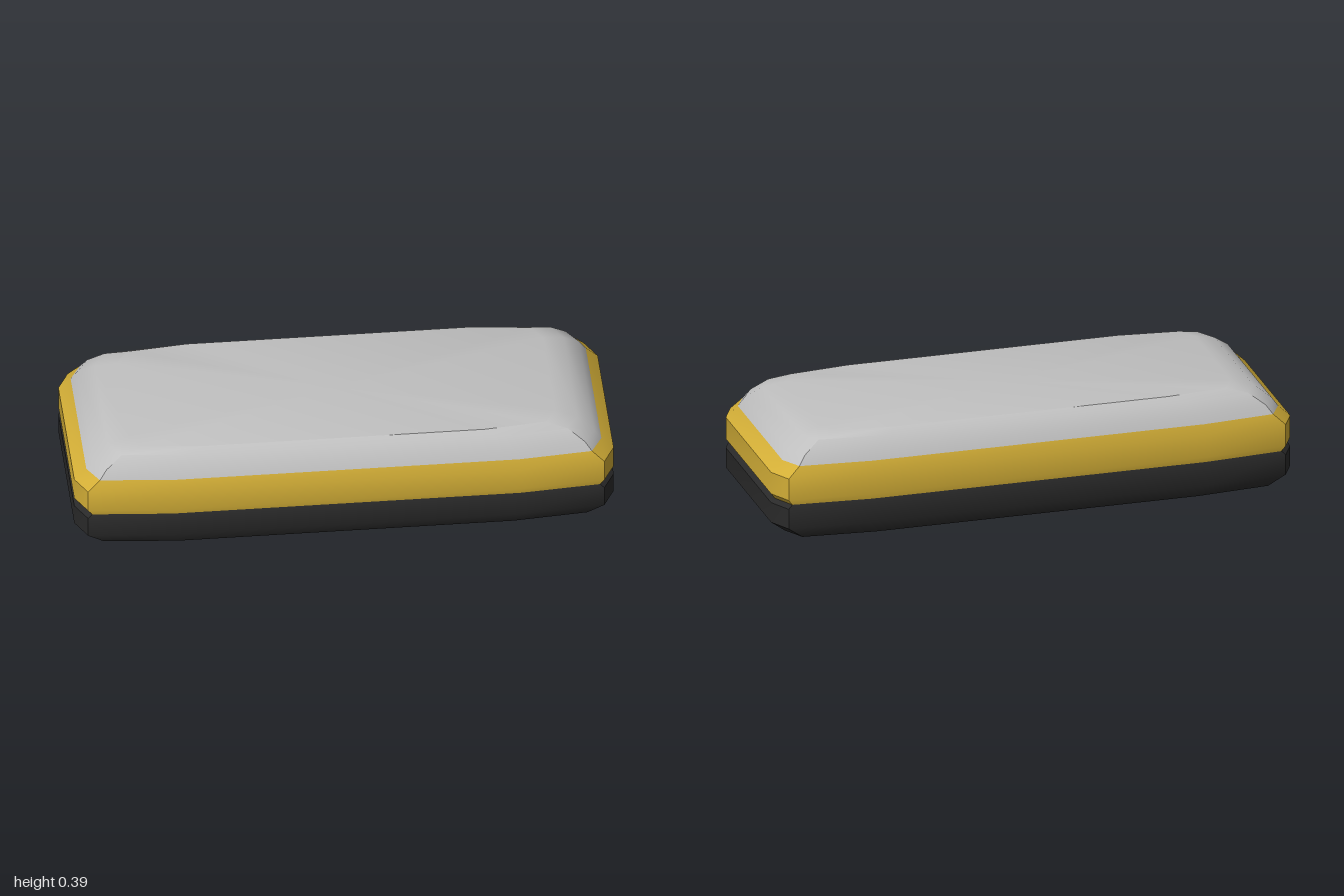
import * as THREE from 'three';
import { toCreasedNormals } from 'three/addons/utils/BufferGeometryUtils.js';

// One horizontal cross-section: a rectangle with bowed long sides and clipped corners.
// y height, X half length, Z half width, mid = end of the straight long side, end = half width of the end face
function ring([y, X, Z, mid, end]) {
  const quarter = [[X, end], [X - 0.043, Z - 0.025], [mid, Z]];
  const back = [...quarter].reverse();
  return [
    ...quarter,
    ...back.map(([x, z]) => [-x, z]),
    ...quarter.map(([x, z]) => [-x, -z]),
    ...back.map(([x, z]) => [x, -z]),
  ].map(([x, z]) => [x, y, z]);
}

// Joins the cross-sections from bottom to top and closes both ends.
function loft(sections) {
  const rings = sections.map(ring);
  const n = rings[0].length;
  const last = rings.length - 1;
  const pos = [];
  const tri = (...corners) => corners.forEach((p) => pos.push(...p));
  const low = [0, sections[0][0], 0];
  const high = [0, sections[last][0], 0];
  for (let i = 0; i < n; i++) {
    const j = (i + 1) % n;
    for (let k = 0; k < last; k++) {
      const a = rings[k][i], b = rings[k][j];
      const c = rings[k + 1][i], d = rings[k + 1][j];
      tri(a, c, b);
      tri(b, c, d);
    }
    tri(low, rings[0][i], rings[0][j]);
    tri(high, rings[last][j], rings[last][i]);
  }
  const geometry = new THREE.BufferGeometry();
  geometry.setAttribute('position', new THREE.Float32BufferAttribute(pos, 3));
  return toCreasedNormals(geometry, THREE.MathUtils.degToRad(35));
}

export function createModel() {
  const group = new THREE.Group();
  group.name = 'layeredCase';

  const material = (name, color) => {
    const m = new THREE.MeshStandardMaterial({ color });
    m.name = name;
    return m;
  };
  const add = (name, mat, sections) => {
    const mesh = new THREE.Mesh(loft(sections), mat);
    mesh.name = name;
    group.add(mesh);
  };

  // Dark tray with a bevelled foot
  add('base', material('black', 0x2a2a2a), [
    [0, 0.94, 0.375, 0.62, 0.27],
    [0.047, 1, 0.4, 0.65, 0.29],
    [0.125, 1, 0.4, 0.65, 0.29],
    [0.14, 0.985, 0.396, 0.645, 0.288],
  ]);

  // Gold band, bevelled above and below
  add('middleBand', material('gold', 0xd4af37), [
    [0.14, 0.985, 0.396, 0.645, 0.288],
    [0.16, 1, 0.4, 0.65, 0.29],
    [0.245, 1, 0.4, 0.65, 0.29],
    [0.287, 0.955, 0.388, 0.64, 0.285],
  ]);

  // Rounded lid
  add('lid', material('silver', 0xc0c0c0), [
    [0.287, 0.955, 0.388, 0.64, 0.285],
    [0.322, 0.93, 0.374, 0.62, 0.28],
    [0.366, 0.87, 0.346, 0.57, 0.25],
    [0.386, 0.79, 0.323, 0.52, 0.23],
  ]);

  return group;
}
